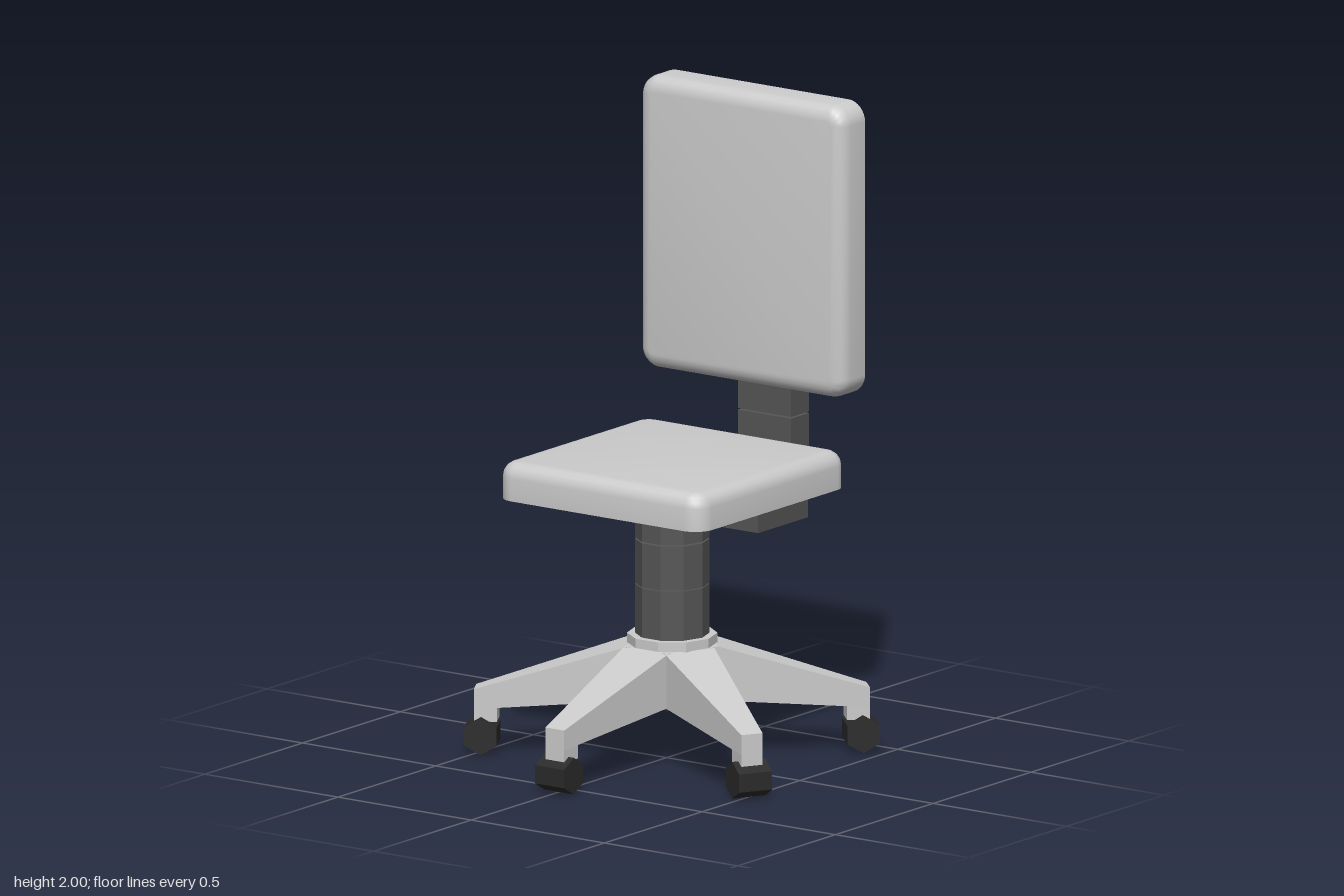
import * as THREE from 'three';
import { toCreasedNormals } from 'three/addons/utils/BufferGeometryUtils.js';

const AXIS_Z = -0.028; // the column and the star base share this axis

const grey = new THREE.MeshStandardMaterial({ color: 0xcccccc });
const greyFlat = new THREE.MeshStandardMaterial({ color: 0xcccccc, flatShading: true });
const dark = new THREE.MeshStandardMaterial({ color: 0x555555, flatShading: true });
const black = new THREE.MeshStandardMaterial({ color: 0x2a2a2a, flatShading: true });

function add(parent, name, geometry, material, x = 0, y = 0, z = 0) {
  const mesh = new THREE.Mesh(geometry, material);
  mesh.name = name;
  mesh.position.set(x, y, z);
  parent.add(mesh);
  return mesh;
}

// Box given by its limits, centred on x = 0
function block(parent, name, material, halfWidth, y0, y1, z0, z1) {
  return add(parent, name, new THREE.BoxGeometry(2 * halfWidth, y1 - y0, z1 - z0),
    material, 0, (y0 + y1) / 2, (z0 + z1) / 2);
}

// Pad with a flat underside at z = 0 and a rounded rim on the +z side
function cushionGeometry(width, height, thickness) {
  const bevel = 0.045, r = 0.018;
  const w = width / 2 - bevel, h = height / 2 - bevel;
  const shape = new THREE.Shape();
  shape.moveTo(-w + r, -h);
  shape.absarc(w - r, -h + r, r, -Math.PI / 2, 0);
  shape.absarc(w - r, h - r, r, 0, Math.PI / 2);
  shape.absarc(-w + r, h - r, r, Math.PI / 2, Math.PI);
  shape.absarc(-w + r, -h + r, r, Math.PI, Math.PI * 1.5);
  const geometry = new THREE.ExtrudeGeometry(shape, {
    depth: thickness - bevel, bevelSize: bevel, bevelThickness: bevel,
    bevelSegments: 4, curveSegments: 4,
  });
  // Press the rear bevel flat
  const p = geometry.attributes.position;
  for (let i = 0; i < p.count; i++) p.setZ(i, Math.max(0, p.getZ(i)));
  return toCreasedNormals(geometry, 0.7);
}

// Tapered arm of the base, running along +z: [distance, half width, bottom, top]
function legGeometry() {
  const sections = [
    [0, 0.085, 0.2, 0.355], [0.13, 0.083, 0.187, 0.355],
    [0.53, 0.042, 0.145, 0.223], [0.6, 0.035, 0.138, 0.2],
  ];
  const geometry = new THREE.BoxGeometry(1, 1, 1, 1, 1, sections.length - 1);
  const p = geometry.attributes.position;
  for (let i = 0; i < p.count; i++) {
    const s = sections[Math.round((p.getZ(i) + 0.5) * (sections.length - 1))];
    p.setXYZ(i, Math.sign(p.getX(i)) * s[1], p.getY(i) < 0 ? s[2] : s[3], s[0]);
  }
  return geometry;
}

// Ten-sided drum on the column axis
function drum(parent, name, material, radius, y0, y1) {
  const geometry = new THREE.CylinderGeometry(radius, radius, y1 - y0, 10);
  geometry.rotateY(Math.PI / 10);
  add(parent, name, geometry, material, 0, (y0 + y1) / 2, AXIS_Z);
}

export function createModel() {
  const model = new THREE.Group();
  model.name = 'officeChair';

  // Seat and backrest
  const seat = add(model, 'seat', cushionGeometry(0.77, 0.765, 0.115), grey, 0, 0.82, -0.0275);
  seat.rotation.x = -Math.PI / 2;
  add(model, 'backrest', cushionGeometry(0.77, 0.91, 0.118), grey, 0, 1.545, -0.49);

  // Column in three sections above a collar
  [[0.38, 0.537], [0.54, 0.677], [0.682, 0.82]].forEach(([a, b], i) =>
    drum(model, `columnSection${i + 1}`, dark, 0.113, a, b));
  drum(model, 'collar', greyFlat, 0.137, 0.352, 0.384);

  // Back support: bracket under the seat, bend, post sections, mounting block
  const support = new THREE.Group();
  support.name = 'backSupport';
  model.add(support);
  block(support, 'seatBracket', dark, 0.17, 0.677, 0.815, -0.49, -0.235);
  const bend = new THREE.Shape([[-0.485, 0.677], [-0.573, 0.73], [-0.592, 0.82], [-0.485, 0.82]]
    .map(([z, y]) => new THREE.Vector2(z, y)));
  const bendGeometry = new THREE.ExtrudeGeometry(bend, { depth: 0.2, bevelEnabled: false });
  bendGeometry.translate(0, 0, -0.1).rotateY(-Math.PI / 2);
  add(support, 'supportBend', bendGeometry, dark);
  [[0.82, 0.972], [0.977, 1.122], [1.126, 1.27]].forEach(([a, b], i) =>
    block(support, `postSection${i + 1}`, dark, 0.1, a, b, -0.592, -0.5));
  block(support, 'backrestMount', dark, 0.125, 1.27, 1.41, -0.6, -0.488);

  // Five legs, each with a foot and a six-sided castor
  const legShape = legGeometry();
  const wheelShape = new THREE.CylinderGeometry(0.057, 0.057, 0.11, 6);
  wheelShape.rotateY(Math.PI / 2).rotateZ(Math.PI / 2);
  wheelShape.computeBoundingBox();
  // Turn the wheel so a corner points up
  if (wheelShape.boundingBox.max.y < 0.055) wheelShape.rotateX(Math.PI / 6);
  [0, 60, 135, -135, -60].forEach((angle, i) => {
    const leg = new THREE.Group();
    leg.name = `leg${i + 1}`;
    leg.position.z = AXIS_Z;
    leg.rotation.y = THREE.MathUtils.degToRad(angle);
    add(leg, 'arm', legShape, greyFlat);
    block(leg, 'foot', greyFlat, 0.035, 0.1, 0.16, 0.53, 0.6);
    add(leg, 'castor', wheelShape, black, 0, 0.057, 0.578);
    model.add(leg);
  });

  return model;
}
